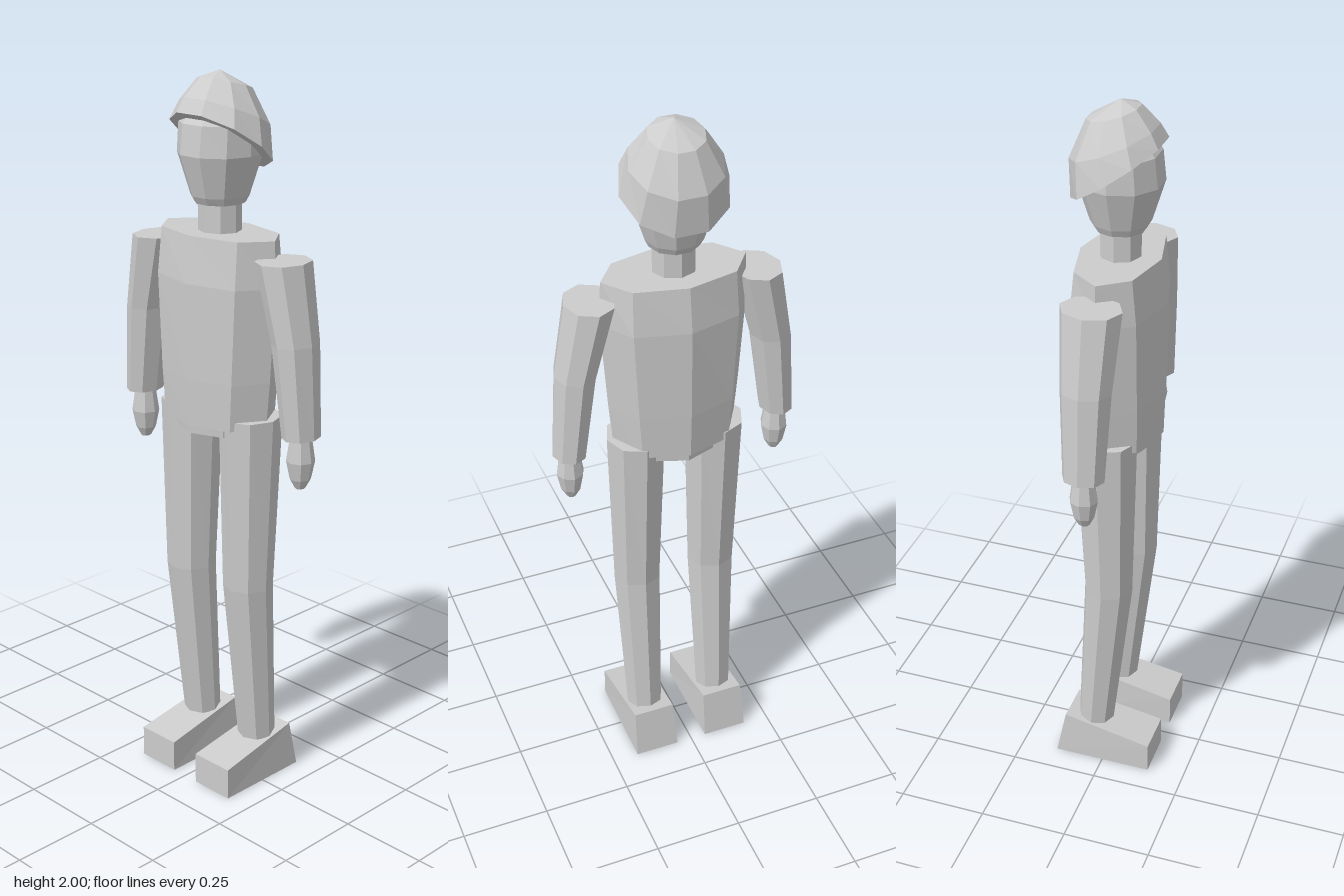
import * as THREE from 'three';

const grey = new THREE.MeshStandardMaterial({ color: 0xcccccc, flatShading: true });
grey.name = 'light grey';

// Closed solid through elliptical rings listed from bottom to top.
// Ring: [y, centre x, centre z, radius x, radius z, rise of y per unit z]
function loft(name, rings, sides) {
  const pos = [];
  const loops = rings.map(([y, cx, cz, rx, rz, tilt = 0]) => {
    const loop = [];
    for (let i = 0; i < sides; i++) {
      const a = (i / sides) * Math.PI * 2;
      const dz = rz * Math.sin(a);
      loop.push([cx + rx * Math.cos(a), y + tilt * dz, cz + dz]);
    }
    return loop;
  });
  const tri = (a, b, c) => pos.push(...a, ...b, ...c);
  const centre = ([y, cx, cz]) => [cx, y, cz];
  const last = rings.length - 1;
  for (let i = 0; i < sides; i++) {
    const j = (i + 1) % sides;
    for (let k = 0; k < last; k++) {
      const lo = loops[k], hi = loops[k + 1];
      tri(lo[i], hi[i], hi[j]);
      tri(lo[i], hi[j], lo[j]);
    }
    tri(centre(rings[0]), loops[0][i], loops[0][j]);
    tri(centre(rings[last]), loops[last][j], loops[last][i]);
  }
  const geo = new THREE.BufferGeometry();
  geo.setAttribute('position', new THREE.Float32BufferAttribute(pos, 3));
  geo.computeVertexNormals();
  const mesh = new THREE.Mesh(geo, grey);
  mesh.name = name;
  return mesh;
}

// Wedge shoe: low at the toe, high and slightly pulled in at the heel
function makeShoe(x) {
  const geo = new THREE.BoxGeometry(0.13, 1, 0.285).toNonIndexed();
  const p = geo.attributes.position;
  for (let i = 0; i < p.count; i++) {
    const top = p.getY(i) > 0, heel = p.getZ(i) < 0;
    p.setY(i, top ? (heel ? 0.138 : 0.09) : 0);
    if (top && heel) {
      p.setZ(i, -0.115);
      p.setX(i, p.getX(i) * 0.92);
    }
  }
  geo.computeVertexNormals();
  const mesh = new THREE.Mesh(geo, grey);
  mesh.position.x = x;
  return mesh;
}

export function createModel() {
  const model = new THREE.Group();
  model.name = 'figure';

  // Trunk
  model.add(loft('torso', [
    [1.07, 0, 0, 0.175, 0.122],
    [1.2, 0, 0, 0.187, 0.126],
    [1.46, 0, 0, 0.205, 0.127],
    [1.585, 0, 0, 0.2, 0.11],
  ], 8));
  model.add(loft('pelvis', [
    [1.043, 0, 0, 0.125, 0.108],
    [1.08, 0, 0, 0.13, 0.11],
  ], 8));
  model.add(loft('neck', [
    [1.57, 0, 0, 0.06, 0.056],
    [1.68, 0, 0, 0.06, 0.056],
  ], 8));

  // Head and the backward tilted cap
  model.add(loft('head', [
    [1.66, 0, 0, 0.068, 0.068],
    [1.68, 0, 0, 0.078, 0.08],
    [1.79, 0, 0, 0.113, 0.114],
    [1.87, 0, 0, 0.112, 0.105],
    [1.92, 0, -0.01, 0.08, 0.075],
  ], 10));
  model.add(loft('cap', [
    [1.82, 0, -0.004, 0.147, 0.121, 0.68],
    [1.89, 0, -0.017, 0.125, 0.113, 0.42],
    [1.966, 0, -0.018, 0.075, 0.069, 0.28],
    [2, 0, 0, 0.001, 0.001],
  ], 10));

  // Paired limbs
  for (const s of [1, -1]) {
    const side = s > 0 ? 'left' : 'right';
    model.add(loft(side + 'Arm', [
      [1.08, s * 0.302, 0, 0.046, 0.058],
      [1.33, s * 0.277, 0, 0.057, 0.07],
      [1.54, s * 0.231, 0, 0.068, 0.083],
    ], 8));
    model.add(loft(side + 'Hand', [
      [0.938, s * 0.301, 0, 0.013, 0.015],
      [0.965, s * 0.301, 0, 0.028, 0.029],
      [1.015, s * 0.301, 0, 0.038, 0.039],
      [1.09, s * 0.301, 0, 0.027, 0.028],
    ], 8));
    model.add(loft(side + 'Leg', [
      [0.12, s * 0.111, -0.038, 0.053, 0.053],
      [0.6, s * 0.113, 0.002, 0.069, 0.07],
      [1.095, s * 0.113, -0.005, 0.083, 0.089],
    ], 8));
    const shoe = makeShoe(s * 0.11);
    shoe.name = side + 'Shoe';
    model.add(shoe);
  }
  return model;
}
